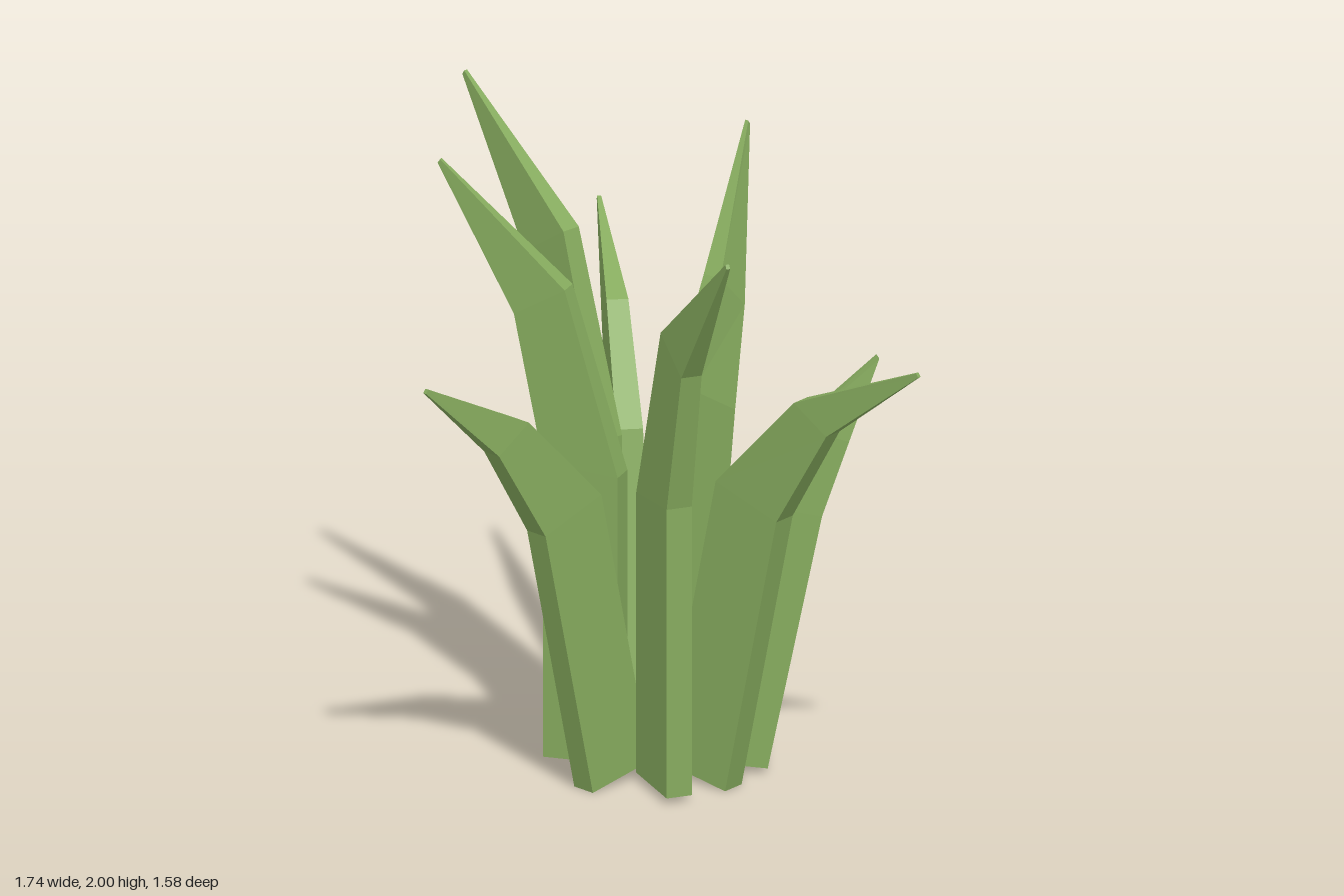
import * as THREE from 'three';

const leafGreen = new THREE.MeshStandardMaterial({ color: 0x86ab5e });
leafGreen.name = 'leafGreen';

// Blade profiles: [inner radius, inner y, outer radius, outer y, thickness] for root, bend and shoulder
const upright = [
  [0, 0.025, 0.235, 0.02, 0.08],
  [0, 0.9, 0.235, 0.92, 0.08],
  [0.17, 1.45, 0.33, 1.36, 0.065],
];
const leaning = [
  [0, 0.045, 0.23, 0, 0.08],
  [0.195, 0.95, 0.42, 0.87, 0.08],
  [0.48, 1.25, 0.6, 1.17, 0.065],
];
const small = [
  [0, 0.04, 0.22, 0.015, 0.07],
  [0.16, 0.84, 0.38, 0.8, 0.07],
  [0.31, 1.07, 0.46, 1.03, 0.06],
];
const tall = [
  [0, 0.07, 0.27, 0.04, 0.08],
  [0.2, 1.13, 0.39, 1.02, 0.08],
  [0.38, 1.42, 0.49, 1.31, 0.065],
];

// One tapering four-sided blade, running from its inner root out to the tip
function blade({ name, profile, root, tip, tipY, stretch = 1, swerve = 0 }) {
  let angle = Math.atan2(tip[1] - root[1], tip[0] - root[0]);
  const length = Math.hypot(tip[0] - root[0], tip[1] - root[1]);
  // A swerving blade starts off to one side and bends sideways to its tip
  angle -= Math.asin(swerve / length);
  const reach = Math.sqrt(length * length - swerve * swerve);
  const c = Math.cos(angle), s = Math.sin(angle);
  const point = (r, y, side) => [root[0] + c * r - s * side, y, root[1] + s * r + c * side];

  const sections = [
    ...profile.map(([ri, yi, ro, yo, t], i) => {
      const k = i === 0 ? 1 : stretch;
      return [ri, yi * k, ro, yo * k, t];
    }),
    [reach - 0.008, tipY, reach, tipY - 0.012, 0.012],
  ];
  const shift = [0, 0, swerve * 0.25, swerve];
  const rings = sections.map(([ri, yi, ro, yo, t], i) => [
    point(ri, yi, shift[i] - t / 2),
    point(ri, yi, shift[i] + t / 2),
    point(ro, yo, shift[i] + t / 2),
    point(ro, yo, shift[i] - t / 2),
  ]);

  const positions = [];
  const quad = (p, q, r, t) => positions.push(...p, ...q, ...r, ...p, ...r, ...t);
  for (let i = 0; i < rings.length - 1; i++) {
    const a = rings[i], b = rings[i + 1];
    for (let j = 0; j < 4; j++) {
      const n = (j + 1) % 4;
      quad(a[j], a[n], b[n], b[j]);
    }
  }
  quad(...rings[rings.length - 1]);
  quad(...[...rings[0]].reverse());

  const geometry = new THREE.BufferGeometry();
  geometry.setAttribute('position', new THREE.Float32BufferAttribute(positions, 3));
  geometry.computeVertexNormals();
  const mesh = new THREE.Mesh(geometry, leafGreen);
  mesh.name = name;
  return mesh;
}

export function createModel() {
  const group = new THREE.Group();
  group.name = 'grassTuft';
  const blades = [
    // Upright blades
    { name: 'frontLeftBlade', profile: upright, root: [-0.06, -0.045], tip: [0.49, 0.23], tipY: 1.8 },
    { name: 'frontRightBlade', profile: upright, root: [-0.18, -0.065], tip: [-0.725, 0.135], tipY: 1.83, stretch: 1.02 },
    { name: 'rightBlade', profile: upright, root: [-0.26, -0.112], tip: [-0.87, -0.145], tipY: 2.0, stretch: 1.11 },
    // Blades that lean outwards
    { name: 'leftBlade', profile: leaning, root: [-0.05, -0.135], tip: [0.87, -0.19], tipY: 1.44, stretch: 1.01 },
    { name: 'frontBlade', profile: leaning, root: [-0.118, -0.075], tip: [-0.207, 0.79], tipY: 1.4, stretch: 0.97 },
    { name: 'backRightBlade', profile: leaning, root: [-0.185, -0.14], tip: [-0.87, -0.75], tipY: 1.45, stretch: 1.02 },
    // Short and tall back blades
    { name: 'backLeftBlade', profile: small, root: [-0.015, -0.19], tip: [0.39, -0.56], tipY: 1.29 },
    { name: 'backBlade', profile: tall, root: [-0.15, -0.105], tip: [-0.32, -0.79], tipY: 1.8, swerve: -0.16 },
  ];
  for (const spec of blades) group.add(blade(spec));
  return group;
}
